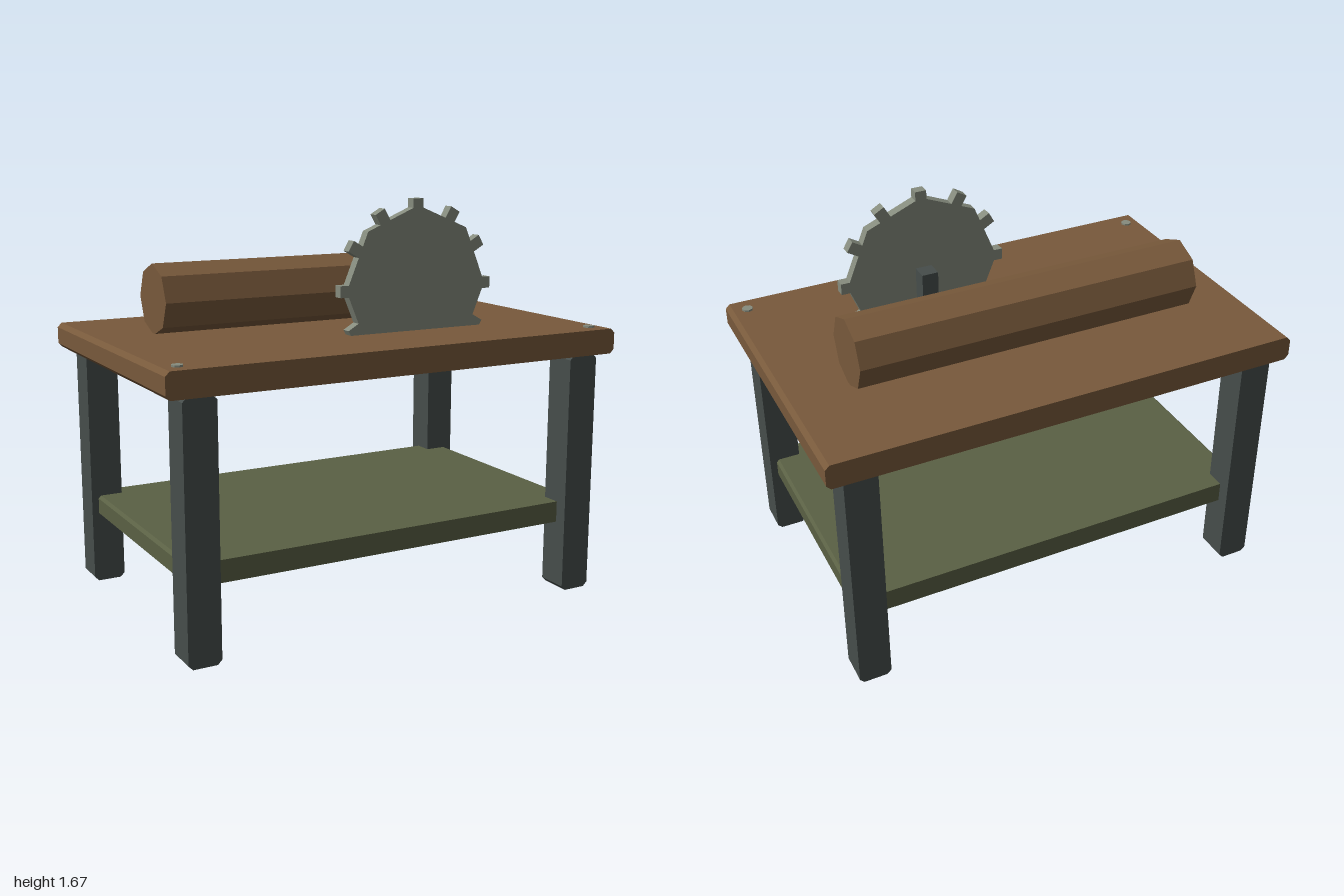
import * as THREE from 'three';

const mat = (color) => new THREE.MeshStandardMaterial({ color, flatShading: true });

export function createModel() {
  const root = new THREE.Group();
  root.name = 'sawTable';
  const wood = mat(0x78593b);
  const iron = mat(0x464d4b);
  const green = mat(0x5a6044);
  const steel = mat(0x868c7e);

  const add = (name, geometry, material, x, y, z, parent = root) => {
    const mesh = new THREE.Mesh(geometry, material);
    mesh.name = name;
    mesh.position.set(x, y, z);
    parent.add(mesh);
    return mesh;
  };

  // Box whose four edges along z are chamfered, centred on the origin
  const chamferedBox = (w, h, d, c) => {
    const x = w / 2, y = h / 2;
    const outline = [
      [c - x, -y], [x - c, -y], [x, c - y], [x, y - c],
      [x - c, y], [c - x, y], [-x, y - c], [-x, c - y],
    ].map(([px, py]) => new THREE.Vector2(px, py));
    return new THREE.ExtrudeGeometry(new THREE.Shape(outline), { depth: d, bevelEnabled: false })
      .translate(0, 0, -d / 2);
  };

  // Table top and lower shelf
  add('tableTop', chamferedBox(2, 0.105, 1.26, 0.018), wood, 0, 1.077, 0);
  add('shelf', chamferedBox(1.8, 0.09, 1.1, 0.012), green, 0, 0.34, 0);

  // Four legs
  const legGeometry = chamferedBox(0.135, 1.025, 0.135, 0.018);
  for (const sx of [-1, 1]) {
    for (const sz of [-1, 1]) {
      const name = (sz > 0 ? 'front' : 'back') + (sx > 0 ? 'Left' : 'Right') + 'Leg';
      add(name, legGeometry, iron, sx * 0.862, 0.5125, sz * 0.537);
    }
  }

  // Bolts at the front corners
  const boltGeometry = new THREE.CylinderGeometry(0.023, 0.023, 0.03, 8);
  for (const sx of [-1, 1]) add(sx > 0 ? 'leftBolt' : 'rightBolt', boltGeometry, steel, sx * 0.925, 1.122, 0.555);

  // Eight-sided log lying across the table
  add('log', new THREE.CylinderGeometry(0.146, 0.146, 1.475, 8).rotateZ(Math.PI / 2), wood, 0, 1.269, -0.167);

  // Saw blade with twelve teeth
  const blade = new THREE.Group();
  blade.name = 'sawBlade';
  blade.position.set(0.25, 1.309, 0.252);
  root.add(blade);
  add('bladeDisc', new THREE.CylinderGeometry(0.333, 0.333, 0.043, 8).rotateX(Math.PI / 2), steel, 0, 0, 0, blade);
  const toothGeometry = new THREE.BoxGeometry(0.07, 0.048, 0.043);
  for (let i = 0; i < 12; i++) {
    const a = (i * Math.PI) / 6;
    const tooth = add('tooth', toothGeometry, steel, Math.cos(a) * 0.326, Math.sin(a) * 0.326, 0, blade);
    tooth.rotation.z = a;
  }

  // Upright holding the blade from behind
  add('bladeSupport', new THREE.BoxGeometry(0.07, 0.25, 0.08), iron, 0.25, 1.205, 0.2);

  return root;
}
